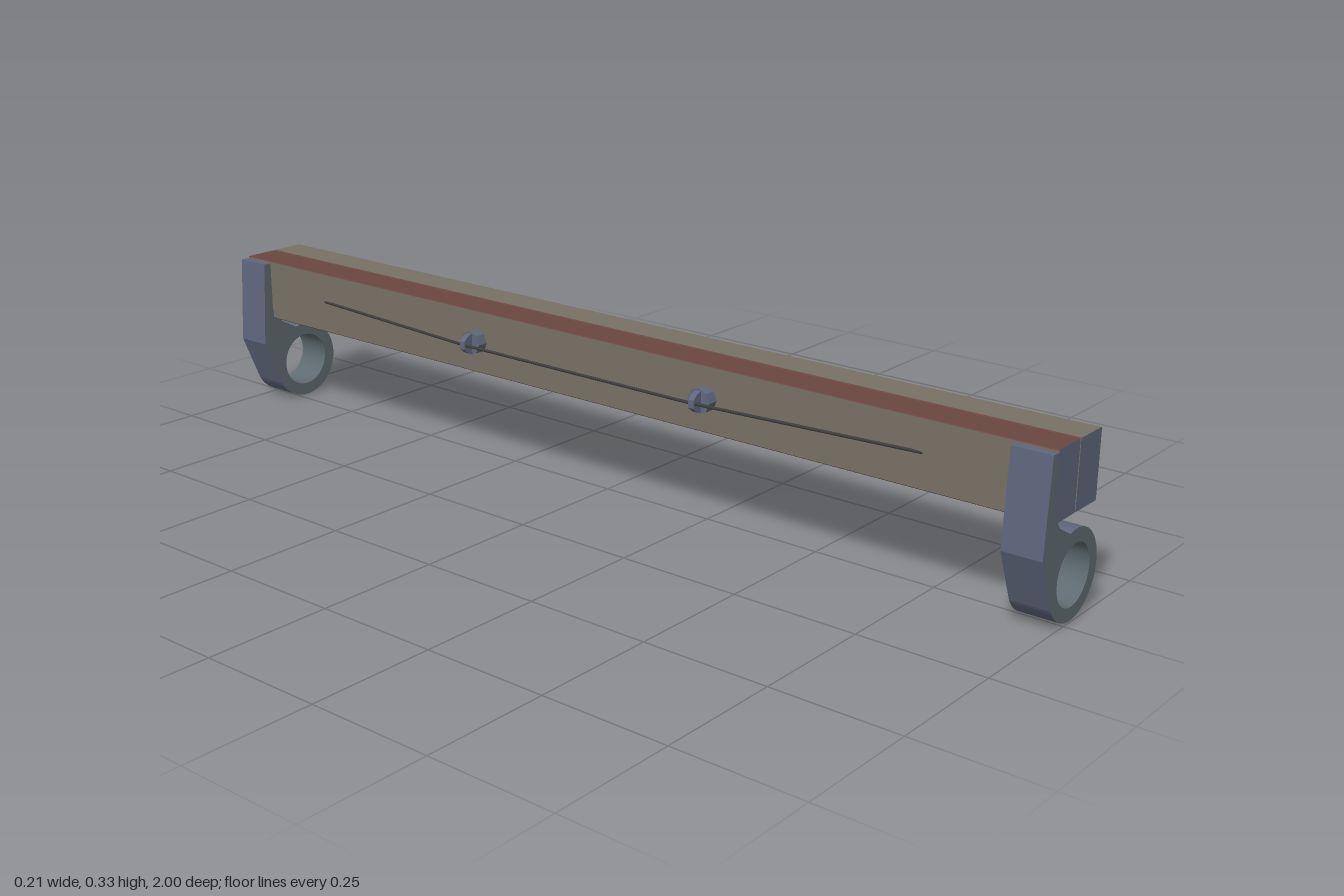
import * as THREE from 'three';

const paint = color => new THREE.MeshStandardMaterial({ color });
const green = paint(0x717972), brown = paint(0x777064), red = paint(0x6a4640);
const blue = paint(0x60677c), slate = paint(0x5f6b70), dark = paint(0x3c3c3c);

const toPoints = list => list.map(p => new THREE.Vector2(...p));

function add(parent, name, geometry, material, x = 0, y = 0, z = 0) {
  const mesh = new THREE.Mesh(geometry, material);
  mesh.name = name;
  mesh.position.set(x, y, z);
  parent.add(mesh);
}

function extrude(shape, depth, curveSegments = 1) {
  return new THREE.ExtrudeGeometry(shape, { depth, bevelEnabled: false, curveSegments })
    .translate(0, 0, -depth / 2);
}

// Chamfered beam; material slots: 0 ends, 1 left, 2 right, 3 top, 4 bottom, 5 chamfers
function beamGeometry(w, h, length, c) {
  const a = w / 2, b = h / 2;
  const geometry = extrude(new THREE.Shape(toPoints([
    [-a + c, -b], [a - c, -b], [a, -b + c], [a, b - c],
    [a - c, b], [-a + c, b], [-a, b - c], [-a, -b + c],
  ])), length);
  const ends = geometry.groups[0].count;
  geometry.clearGroups();
  geometry.addGroup(0, ends, 0);
  // The walls are stored from the -x side over the top to the bottom
  [2, 5, 3, 5, 1, 5, 4, 5].forEach((slot, i) => geometry.addGroup(ends + i * 6, 6, slot));
  return geometry;
}

// Hanger plate running into a round eye; material slots: 0 faces and bore, 1 rim
function bracketGeometry(depth) {
  const cx = 0.022, cy = 0.087, segments = 32;
  const shape = new THREE.Shape();
  shape.moveTo(-0.082, 0.328);
  shape.lineTo(-0.065, 0.328);
  shape.lineTo(-0.065, 0.222);
  shape.lineTo(-0.041, 0.19);
  shape.lineTo(-0.001, 0.168);
  shape.absarc(cx, cy, 0.084, 1.85, -2.62, true);
  shape.lineTo(-0.093, 0.147);
  shape.closePath();
  const bore = new THREE.Path();
  bore.absarc(cx, cy, 0.058, 0, Math.PI * 2, false);
  shape.holes.push(bore);
  const geometry = extrude(shape, depth, segments);
  // The bore walls come last, two per curve segment
  const [faces, walls] = geometry.groups;
  const boreCount = segments * 2 * 6;
  walls.count -= boreCount;
  geometry.addGroup(faces.count + walls.count, boreCount, 0);
  return geometry;
}

export function createModel() {
  const model = new THREE.Group();
  model.name = 'trussedBeam';

  // The whole assembly sits very slightly askew
  const assembly = new THREE.Group();
  assembly.name = 'assembly';
  assembly.rotation.set(-0.0014, -0.0006, 0);
  model.add(assembly);

  // Twin beams with a narrow gap
  const beam = beamGeometry(0.073, 0.13, 1.998, 0.0015);
  add(assembly, 'leftBeam', beam, [blue, brown, red, green, brown, red], 0.0495, 0.267, 0);
  add(assembly, 'rightBeam', beam, [blue, red, green, green, brown, red], -0.0265, 0.267, 0);

  // Eye brackets at both ends
  const bracket = bracketGeometry(0.077);
  add(assembly, 'frontBracket', bracket, [slate, blue], 0, 0, 0.9615);
  add(assembly, 'backBracket', bracket, [slate, blue], 0, 0, -0.9615);

  // Struts holding the tension rod off the beam
  const rodY = 0.269;
  const finGeometry = extrude(new THREE.Shape(toPoints([
    [-0.108, -0.008], [-0.096, -0.018], [-0.084, -0.021],
    [-0.084, 0.021], [-0.096, 0.018], [-0.108, 0.008],
  ])), 0.012);
  const baseGeometry = new THREE.CylinderGeometry(0.025, 0.025, 0.023, 8)
    .toNonIndexed().rotateZ(Math.PI / 2);
  baseGeometry.computeVertexNormals();
  for (const z of [-0.29, 0.29]) {
    const strut = new THREE.Group();
    strut.name = z > 0 ? 'frontStrut' : 'backStrut';
    strut.position.set(0, rodY, z);
    add(strut, 'strutBase', baseGeometry, blue, -0.0745);
    add(strut, 'strutFin', finGeometry, blue);
    assembly.add(strut);
  }

  // Tension rod: straight runs between the beam and the struts
  const points = [[-0.061, -0.75], [-0.103, -0.29], [-0.103, 0.29], [-0.061, 0.75]]
    .map(([x, z]) => new THREE.Vector3(x, rodY, z));
  const rod = new THREE.Group();
  rod.name = 'tensionRod';
  for (let i = 0; i < 3; i++) {
    const run = new THREE.LineCurve3(points[i], points[i + 1]);
    add(rod, 'rodSection', new THREE.TubeGeometry(run, 1, 0.003, 10), dark);
  }
  assembly.add(rod);
  return model;
}
